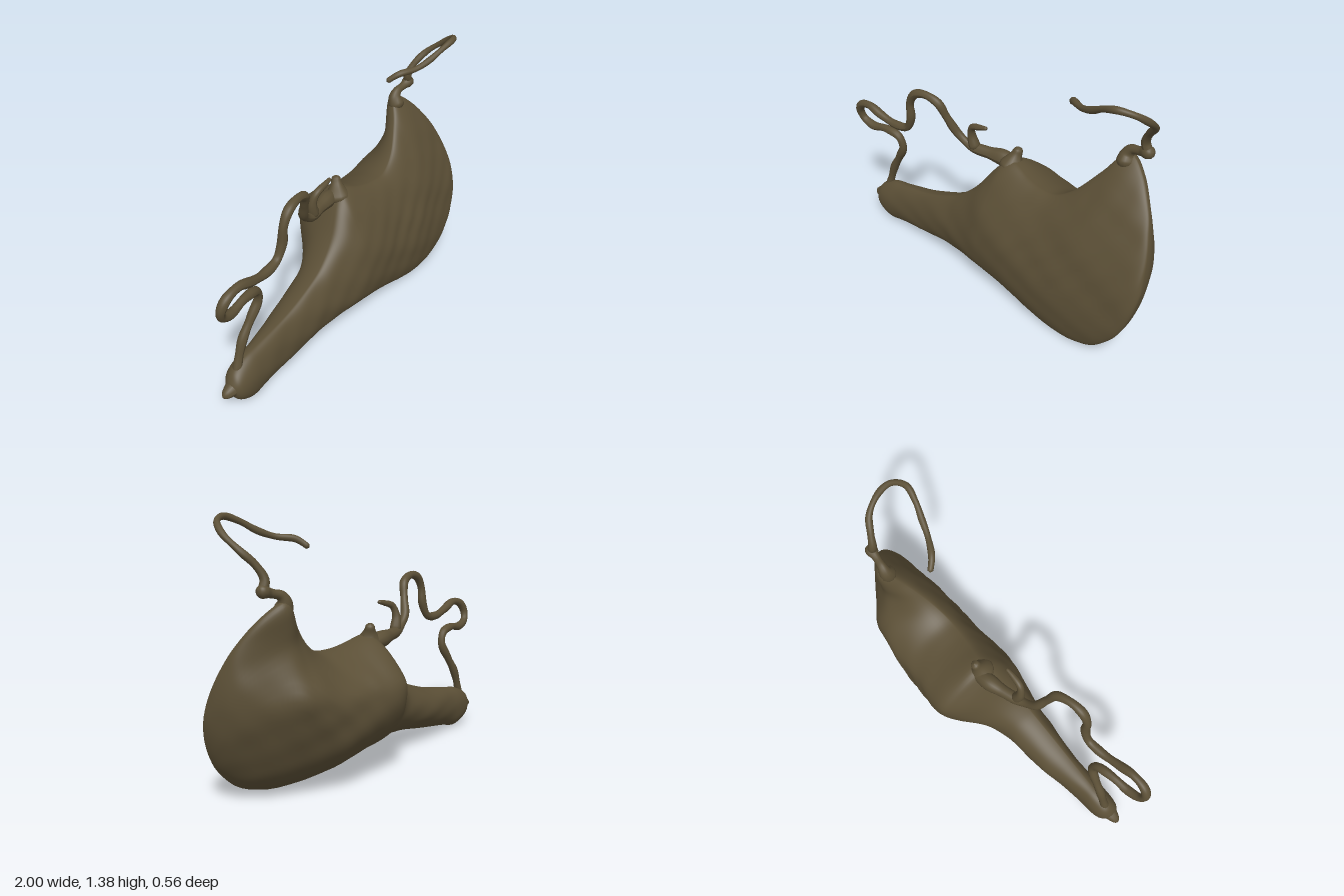
import * as THREE from 'three';

const leather = new THREE.MeshStandardMaterial({ color: 0x5b4f36 });
leather.name = 'darkLeather';

// Body stations along x: [x, bottom y, top y, front bulge, back bulge]
const STATIONS = [
  [-0.93, 0.115, 0.14, 0.01, 0.01], [-0.915, 0.085, 0.175, 0.04, 0.035], [-0.88, 0.04, 0.215, 0.06, 0.065],
  [-0.8, 0.004, 0.25, 0.062, 0.085], [-0.7, 0.024, 0.268, 0.055, 0.1], [-0.5, 0.055, 0.31, 0.045, 0.145],
  [-0.3, 0.088, 0.385, 0.05, 0.18], [-0.2, 0.095, 0.445, 0.062, 0.205], [-0.1, 0.098, 0.54, 0.078, 0.26],
  [0, 0.095, 0.68, 0.097, 0.355], [0.07, 0.09, 0.735, 0.1, 0.4], [0.2, 0.073, 0.7, 0.095, 0.415],
  [0.3, 0.051, 0.685, 0.085, 0.42], [0.4, 0.028, 0.695, 0.075, 0.42], [0.5, 0.008, 0.76, 0.068, 0.4],
  [0.6, 0, 0.88, 0.065, 0.37], [0.69, 0.01, 0.995, 0.06, 0.335], [0.8, 0.053, 0.935, 0.052, 0.26],
  [0.9, 0.153, 0.81, 0.042, 0.185], [0.95, 0.24, 0.705, 0.034, 0.13], [0.98, 0.325, 0.61, 0.024, 0.075],
  [0.995, 0.4, 0.52, 0.012, 0.035], [1.0, 0.45, 0.47, 0.003, 0.005],
];

const { smoothstep } = THREE.MathUtils;

// The seam leans back as it rises and toward the wide end
const rimZ = (x, y) => 0.19 - 0.31 * y * y - 0.03 * smoothstep(x, 0.4, 1);

function catmull(a, b, c, d, t) {
  return 0.5 * (2 * b + (c - a) * t + (2 * a - 5 * b + 4 * c - d) * t * t + (3 * b - a - 3 * c + d) * t ** 3);
}

function stationAt(u) {
  const last = STATIONS.length - 1;
  const i = Math.min(Math.floor(u), last - 1);
  const at = (k) => STATIONS[Math.max(0, Math.min(last, k))];
  return at(i).map((v, k) => catmull(at(i - 1)[k], v, at(i + 1)[k], at(i + 2)[k], u - i));
}

// Soft uneven hide surface with a dented patch on the belly
function wrinkle(x, y, side) {
  const broad = Math.sin(11 * x + 5 * y + side) * Math.sin(13 * y - 4 * x);
  const fine = Math.sin(29 * x + 9 * y + 2 * Math.sin(7 * y)) * Math.sin(33 * y - 12 * x + side * 2);
  const patch = Math.exp(-(((x - 0.5) / 0.22) ** 2) - ((y - 0.42) / 0.1) ** 2);
  return 0.005 * broad + (0.003 + 0.004 * patch) * fine;
}

function bodyGeometry() {
  const perStation = 6, sides = 72;
  const rings = (STATIONS.length - 1) * perStation;
  const pos = [], index = [];
  for (let i = 0; i <= rings; i++) {
    const [x, low, high, front, back] = stationAt(i / perStation);
    for (let j = 0; j < sides; j++) {
      const t = (j / sides) * Math.PI * 2;
      const y = (low + high) / 2 + ((high - low) / 2) * Math.cos(t);
      const s = Math.sin(t);
      const flatten = 1 - 0.55 * smoothstep(y, 0.5, 0.85);
      const bulge = s > 0 ? front * s : back * s * flatten;
      pos.push(x, y, rimZ(x, y) + bulge + wrinkle(x, y, Math.sign(s)) * Math.abs(s) * Math.min(1, back * 6));
    }
  }
  for (let i = 0; i < rings; i++) {
    for (let j = 0; j < sides; j++) {
      const a = i * sides + j, c = i * sides + ((j + 1) % sides);
      index.push(a, c, a + sides, c, c + sides, a + sides);
    }
  }
  // End caps
  for (const [ring, flip] of [[0, false], [rings, true]]) {
    for (let j = 1; j < sides - 1; j++) {
      const a = ring * sides;
      if (flip) index.push(a, a + j, a + j + 1);
      else index.push(a, a + j + 1, a + j);
    }
  }
  const g = new THREE.BufferGeometry();
  g.setAttribute('position', new THREE.Float32BufferAttribute(pos, 3));
  g.setIndex(index);
  g.computeVertexNormals();
  return g;
}

// Smooth cord with a varying radius and rounded ends
function cord(name, points, radiusAt, segments) {
  const curve = new THREE.CatmullRomCurve3(points.map((p) => new THREE.Vector3(...p)));
  const sides = 12, length = curve.getLength();
  const g = new THREE.TubeGeometry(curve, segments, 1, sides);
  const p = g.attributes.position, v = new THREE.Vector3();
  for (let i = 0; i <= segments; i++) {
    const u = i / segments, centre = curve.getPointAt(u);
    const r = radiusAt(u) * (1 + 0.08 * Math.sin(u * length * 38));
    const end = Math.min(1, (Math.min(u, 1 - u) * length) / r);
    const round = Math.sqrt(1 - (1 - end) ** 2);
    for (let j = 0; j <= sides; j++) {
      const k = i * (sides + 1) + j;
      v.fromBufferAttribute(p, k).sub(centre).multiplyScalar(r * round).add(centre);
      p.setXYZ(k, v.x, v.y, v.z);
    }
  }
  g.computeVertexNormals();
  const mesh = new THREE.Mesh(g, leather);
  mesh.name = name;
  return mesh;
}

export function createModel() {
  const group = new THREE.Group();
  group.name = 'waterskin';

  const body = new THREE.Mesh(bodyGeometry(), leather);
  body.name = 'body';
  group.add(body);

  // Plug at the narrow neck
  group.add(cord('neckPlug', [[-0.97, 0.11, 0.19], [-0.93, 0.122, 0.19], [-0.86, 0.13, 0.185]],
    (u) => 0.016 + 0.04 * u, 24));

  // Long looping strap from the neck to the shoulder
  group.add(cord('loopingStrap', [
    [-0.87, 0.16, 0.18], [-0.84, 0.25, 0.17], [-0.8, 0.355, 0.165], [-0.74, 0.45, 0.165], [-0.69, 0.54, 0.17],
    [-0.71, 0.605, 0.18], [-0.8, 0.627, 0.2], [-0.9, 0.615, 0.22], [-0.965, 0.645, 0.235], [-0.978, 0.7, 0.25],
    [-0.945, 0.75, 0.255], [-0.87, 0.768, 0.25], [-0.78, 0.735, 0.235], [-0.68, 0.71, 0.215], [-0.59, 0.725, 0.2],
    [-0.55, 0.8, 0.2], [-0.54, 0.9, 0.205], [-0.5, 0.962, 0.2], [-0.43, 0.98, 0.185], [-0.355, 0.95, 0.16],
    [-0.325, 0.87, 0.13], [-0.29, 0.775, 0.09], [-0.21, 0.712, 0.06], [-0.11, 0.7, 0.025], [-0.01, 0.695, -0.005], [0.08, 0.68, -0.02],
  ], (u) => 0.023 + 0.019 * smoothstep(u, 0.84, 0.96), 260));

  // Short stray end and the knot beside it
  group.add(cord('strayEnd', [[-0.18, 0.7, 0.055], [-0.2, 0.79, 0.065], [-0.18, 0.845, 0.075], [-0.12, 0.868, 0.075], [-0.07, 0.88, 0.07]],
    (u) => 0.031 - 0.021 * u, 48));
  group.add(cord('shoulderKnot', [[0.05, 0.64, 0.02], [0.06, 0.72, 0], [0.075, 0.795, -0.025]],
    (u) => 0.07 - 0.042 * smoothstep(u, 0.2, 0.9), 24));

  // Knot at the tip and its thin hanging tie
  group.add(cord('tipKnot', [[0.695, 0.92, -0.1], [0.69, 0.99, -0.123], [0.71, 1.022, -0.125], [0.76, 1.037, -0.122], [0.835, 1.06, -0.12]],
    (u) => 0.046 - 0.024 * smoothstep(u, 0, 0.65) + 0.008 * smoothstep(u, 0.7, 0.85), 56));
  group.add(cord('tipTie', [
    [0.81, 1.04, -0.12], [0.79, 1.1, -0.115], [0.82, 1.165, -0.095], [0.875, 1.23, -0.055], [0.905, 1.3, 0.03],
    [0.885, 1.35, 0.1], [0.82, 1.367, 0.143], [0.74, 1.34, 0.137], [0.66, 1.295, 0.115], [0.58, 1.265, 0.09],
    [0.49, 1.25, 0.045], [0.445, 1.21, 0],
  ], (u) => 0.022 - 0.006 * smoothstep(u, 0, 0.3), 130));

  return group;
}
